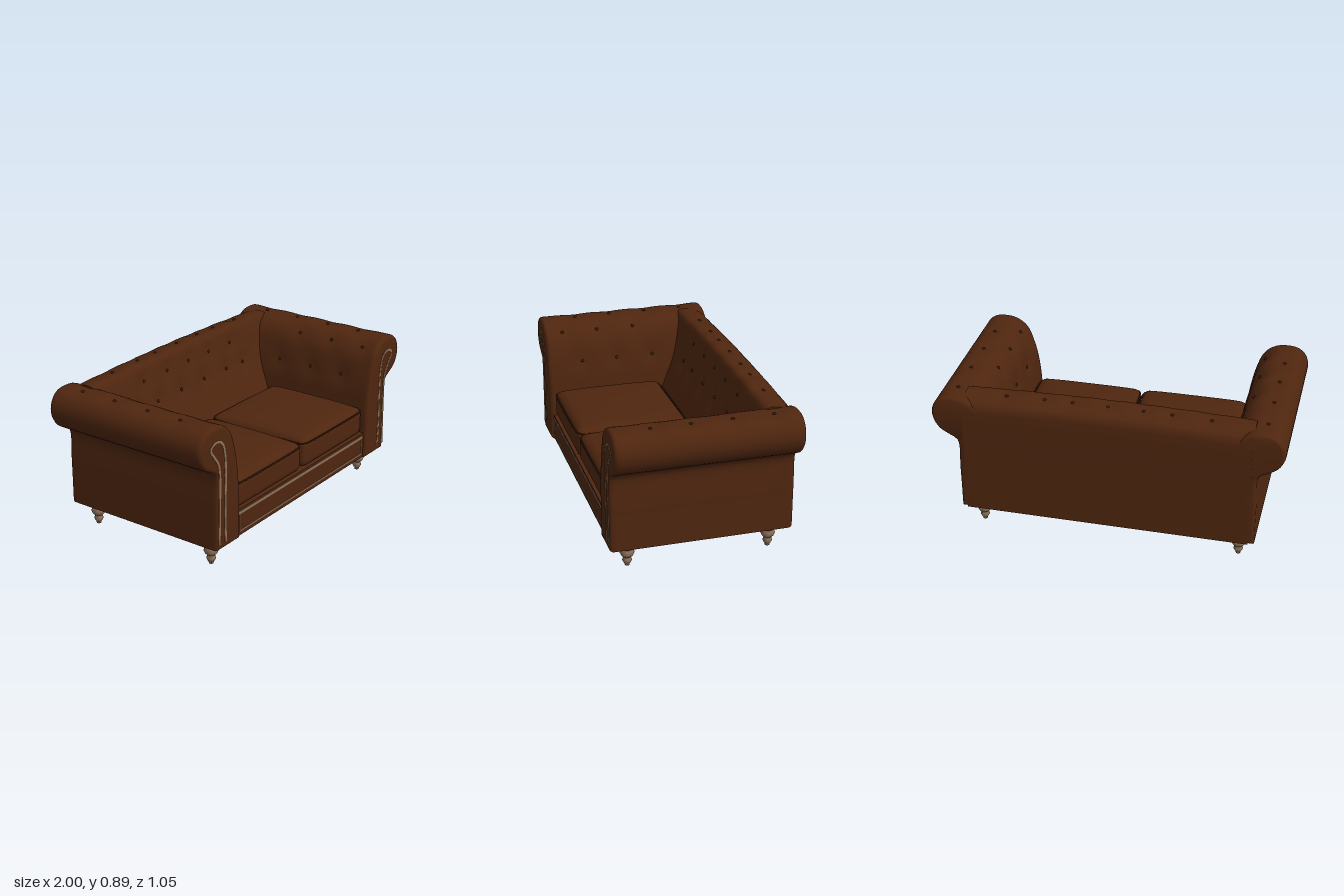
import * as THREE from 'three';
import { toCreasedNormals, mergeVertices } from 'three/addons/utils/BufferGeometryUtils.js';

const leather = new THREE.MeshStandardMaterial({ color: 0x4f260f });
leather.name = 'brown leather';
const seamLeather = new THREE.MeshStandardMaterial({ color: 0x381a0a });
seamLeather.name = 'dark seam leather';
const tan = new THREE.MeshStandardMaterial({ color: 0x8c7058 });
tan.name = 'tan wood and trim';

const V = (x, y, z) => new THREE.Vector3(x, y, z);

function add(parent, name, geometry, material, x = 0, y = 0, z = 0) {
  const mesh = new THREE.Mesh(geometry, material);
  mesh.name = name;
  mesh.position.set(x, y, z);
  parent.add(mesh);
  return mesh;
}

// Smooth outline through a few points, closed by a straight bottom edge
function outline(points) {
  const curve = new THREE.CatmullRomCurve3(points.map(([a, b]) => V(a, b, 0)));
  return new THREE.Shape(curve.getSpacedPoints(72).map(p => new THREE.Vector2(p.x, p.y)));
}

// Pull the upholstery inwards around each button
const DEPTH = 0.012, SPREAD = 0.045;
function tuft(geometry, buttons) {
  const pos = geometry.attributes.position, p = V(0, 0, 0);
  for (let i = 0; i < pos.count; i++) {
    p.fromBufferAttribute(pos, i);
    const move = V(0, 0, 0);
    for (const b of buttons) {
      const pull = Math.exp(-p.distanceToSquared(b.at) / (2 * SPREAD * SPREAD));
      move.addScaledVector(b.normal, -DEPTH * pull);
    }
    p.add(move);
    pos.setXYZ(i, p.x, p.y, p.z);
  }
  return toCreasedNormals(geometry, 0.75);
}

function addButtons(parent, buttons) {
  const geometry = new THREE.SphereGeometry(0.01, 10, 8);
  for (const b of buttons) {
    const at = b.at.clone().addScaledVector(b.normal, -DEPTH);
    add(parent, 'button', geometry, seamLeather, at.x, at.y, at.z);
  }
}

// Rolled arm; side is +1 for left and -1 for right
const ARM = [[0.855, 0.145], [0.855, 0.4], [0.86, 0.595], [0.9, 0.622], [0.96, 0.66], [0.993, 0.715],
  [1, 0.765], [0.983, 0.82], [0.94, 0.86], [0.88, 0.872], [0.8, 0.86], [0.735, 0.81],
  [0.695, 0.71], [0.67, 0.6], [0.655, 0.45], [0.65, 0.145]];
const ARM_ROWS = [
  { x: 0.88, y: 0.872, n: [0, 1], zs: [-0.38, -0.15, 0.08, 0.3] },
  { x: 0.745, y: 0.822, n: [-0.75, 0.66], zs: [-0.04, 0.19, 0.41] },
  { x: 0.678, y: 0.64, n: [-0.98, 0.17], zs: [-0.15, 0.08, 0.3] },
];
function makeArm(side) {
  const arm = new THREE.Group();
  arm.name = side > 0 ? 'leftArm' : 'rightArm';
  const buttons = ARM_ROWS.flatMap(r => r.zs.map(z => ({
    at: V(side * r.x, r.y, z), normal: V(side * r.n[0], r.n[1], 0),
  })));
  const geometry = new THREE.ExtrudeGeometry(outline(ARM.map(([x, y]) => [side * x, y])), {
    depth: 0.998, steps: 48, bevelEnabled: true, bevelThickness: 0.024, bevelSize: 0.02,
    bevelOffset: -0.02, bevelSegments: 4,
  });
  geometry.translate(0, 0, -0.501);
  add(arm, 'armUpholstery', tuft(geometry, buttons), leather);
  addButtons(arm, buttons);

  // Flat trim following the scroll on the arm front
  const path = [[0.785, 0.18], [0.79, 0.4], [0.788, 0.62], [0.805, 0.68], [0.83, 0.71], [0.9, 0.735],
    [0.912, 0.758], [0.885, 0.778], [0.835, 0.765]];
  const inner = [[0.785, 0.18], [0.79, 0.45], [0.788, 0.65], [0.8, 0.7], [0.825, 0.74],
    [0.815, 0.765], [0.86, 0.782], [0.905, 0.765]];
  const loop = [[0.842, 0.18], [0.836, 0.4], [0.836, 0.6], [0.85, 0.66], [0.885, 0.71], [0.913, 0.755],
    [0.895, 0.778], [0.85, 0.785], [0.812, 0.76], [0.79, 0.69], [0.785, 0.55], [0.79, 0.35], [0.785, 0.18]];
  const curve = new THREE.CatmullRomCurve3(loop.map(([x, y]) => V(side * x, y, 0)));
  const trim = new THREE.TubeGeometry(curve, 90, 0.008, 6);
  trim.scale(1, 1, 0.35);
  add(arm, 'armTrim', trim, tan, 0, 0, 0.522);
  return arm;
}

// Upright back with a sloping tufted front, extruded across the sofa
const BACK = [[-0.525, 0.145], [-0.525, 0.5], [-0.525, 0.79], [-0.518, 0.84], [-0.5, 0.862], [-0.46, 0.882],
  [-0.4, 0.893], [-0.357, 0.882], [-0.338, 0.83], [-0.312, 0.72], [-0.28, 0.6], [-0.22, 0.45],
  [-0.18, 0.33], [-0.18, 0.145]];
const BACK_ROWS = [
  { y: 0.888, z: -0.43, n: [0.97, -0.2], xs: [0, 0.2, 0.36, 0.58] },
  { y: 0.79, z: -0.33, n: [0.22, 0.97], xs: [0, 0.2, 0.41] },
  { y: 0.65, z: -0.294, n: [0.24, 0.97], xs: [0.11, 0.33, 0.5] },
];
function makeBack() {
  const back = new THREE.Group();
  back.name = 'back';
  const buttons = BACK_ROWS.flatMap(r => r.xs.flatMap(x => (x ? [x, -x] : [x])).map(x => ({
    at: V(x, r.y - 0.025 * x * x, r.z), normal: V(0, r.n[0], r.n[1]),
  })));
  const geometry = new THREE.ExtrudeGeometry(outline(BACK.map(([z, y]) => [-z, y])),
    { depth: 1.64, steps: 72, bevelEnabled: false });
  geometry.translate(0, 0, -0.82).rotateY(Math.PI / 2);
  // Top line drops gently towards the arms
  const pos = geometry.attributes.position;
  for (let i = 0; i < pos.count; i++) {
    const x = pos.getX(i), y = pos.getY(i);
    if (y > 0.6) pos.setY(i, y - 0.03 * x * x * Math.min(1, (y - 0.6) / 0.2));
  }
  add(back, 'backUpholstery', tuft(geometry, buttons), leather);
  addButtons(back, buttons);
  return back;
}

// Rounded cushion with a crowned top
function cushionGeometry(w, h, d, r) {
  const geometry = new THREE.BoxGeometry(w, h, d, 36, 12, 36);
  geometry.deleteAttribute('uv');
  geometry.deleteAttribute('normal');
  const pos = geometry.attributes.position, half = V(w / 2, h / 2, d / 2), p = V(0, 0, 0);
  const limit = half.clone().subScalar(r);
  for (let i = 0; i < pos.count; i++) {
    p.fromBufferAttribute(pos, i);
    const core = p.clone().clamp(limit.clone().negate(), limit);
    p.sub(core).normalize().multiplyScalar(r).add(core);
    const crown = (1 - (p.x / half.x) ** 4) * (1 - (p.z / half.z) ** 4);
    if (p.y > 0) p.y += 0.03 * crown * p.y / half.y;
    pos.setXYZ(i, p.x, p.y, p.z);
  }
  const smooth = mergeVertices(geometry);
  smooth.computeVertexNormals();
  return smooth;
}

// Piping loop around a cushion
function pipingGeometry(w, d, r) {
  const a = w / 2, b = d / 2, points = [];
  for (const [sx, sz, start] of [[1, 1, 0], [-1, 1, 1], [-1, -1, 2], [1, -1, 3]]) {
    for (let i = 0; i <= 4; i++) {
      const t = (start + i / 4) * Math.PI / 2;
      points.push(V(sx * (a - r) + r * Math.cos(t), 0, sz * (b - r) + r * Math.sin(t)));
    }
  }
  return new THREE.TubeGeometry(new THREE.CatmullRomCurve3(points, true), 100, 0.005, 6, true);
}

export function createModel() {
  const sofa = new THREE.Group();
  sofa.name = 'sofa';

  sofa.add(makeBack(), makeArm(1), makeArm(-1));

  // Seat base and its front trim
  add(sofa, 'seatBase', new THREE.BoxGeometry(1.4, 0.16, 0.98), leather, 0, 0.226, 0.01);
  add(sofa, 'upperRailTrim', new THREE.BoxGeometry(1.28, 0.018, 0.004), tan, 0, 0.284, 0.501);
  add(sofa, 'lowerRailTrim', new THREE.BoxGeometry(1.26, 0.009, 0.004), tan, 0, 0.174, 0.501);
  for (const s of [-1, 1]) {
    add(sofa, 'railEndTrim', new THREE.BoxGeometry(0.006, 0.11, 0.004), tan, s * 0.63, 0.229, 0.501);
  }

  // Two seat cushions
  const cushion = cushionGeometry(0.646, 0.172, 0.67, 0.04);
  const piping = pipingGeometry(0.644, 0.668, 0.05);
  for (const s of [-1, 1]) {
    add(sofa, 'seatCushion', cushion, leather, s * 0.33, 0.386, 0.155);
    add(sofa, 'cushionPiping', piping, seamLeather, s * 0.33, 0.452, 0.155);
  }

  // Turned legs
  const profile = [[0, 0], [0.013, 0], [0.015, 0.014], [0.02, 0.018], [0.027, 0.032], [0.022, 0.046],
    [0.021, 0.052], [0.034, 0.064], [0.041, 0.08], [0.036, 0.096], [0.034, 0.104], [0.048, 0.118],
    [0.061, 0.132], [0.062, 0.147], [0, 0.147]];
  const leg = toCreasedNormals(
    new THREE.LatheGeometry(profile.map(([r, y]) => new THREE.Vector2(r, y)), 28), 0.9);
  for (const x of [-0.757, 0.757]) {
    for (const z of [0.4, -0.415]) add(sofa, z > 0 ? 'frontLeg' : 'backLeg', leg, tan, x, 0, z);
  }
  return sofa;
}
